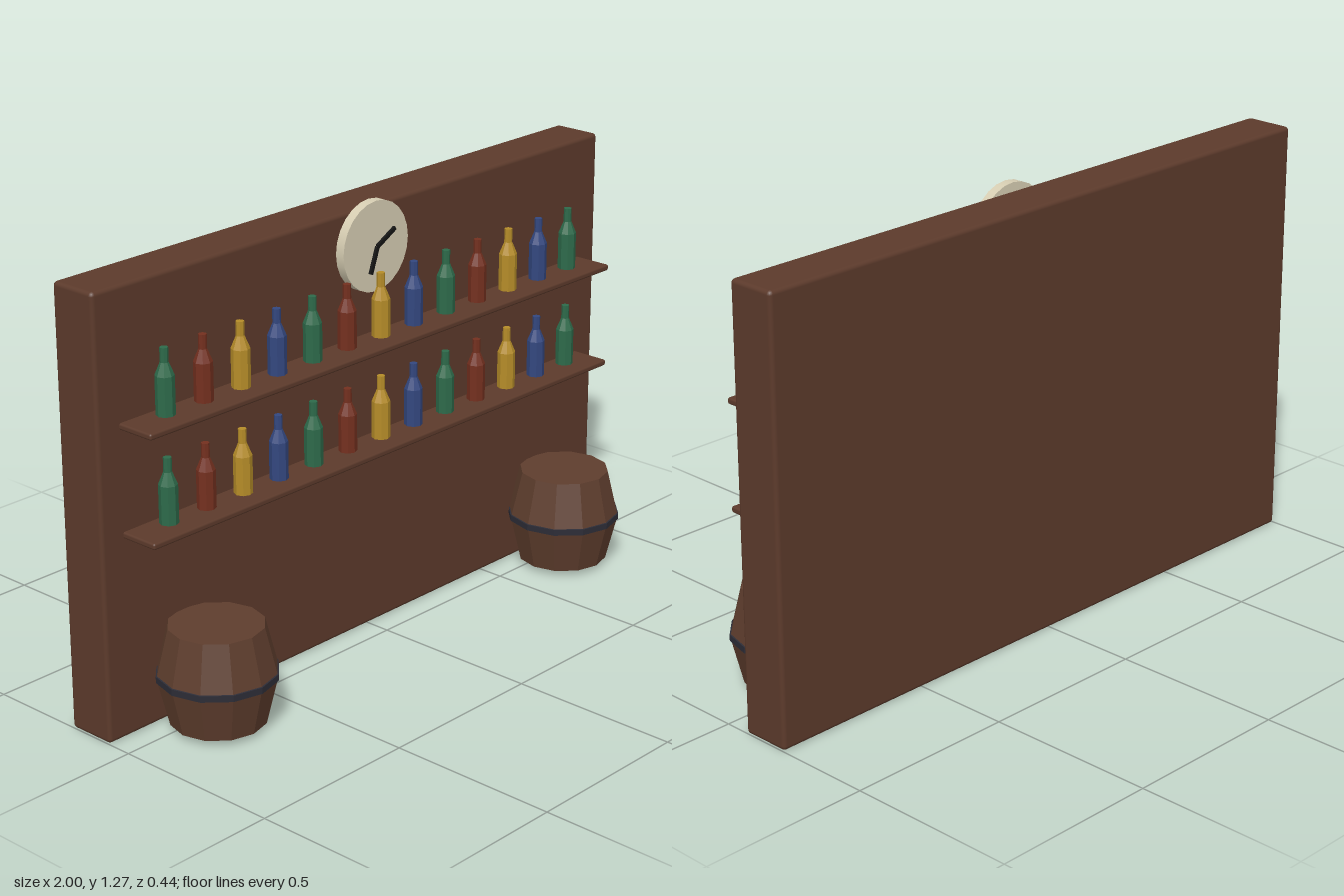
import * as THREE from 'three';
import { RoundedBoxGeometry } from 'three/addons/geometries/RoundedBoxGeometry.js';

function mat(name, color, flat = false) {
  const m = new THREE.MeshStandardMaterial({ color });
  m.name = name;
  m.flatShading = flat;
  return m;
}

export function createModel() {
  const group = new THREE.Group();
  const wood = mat('brown wood', 0x5c3a2b);
  const barrelWood = mat('barrel wood', 0x5e3d2d, true);
  const iron = mat('dark iron', 0x2c2c36, true);
  const ivory = mat('clock ivory', 0xd6cdb2);
  const black = mat('black', 0x141414);
  const glass = [
    mat('green glass', 0x2d6a4a, true),
    mat('red glass', 0x74301f, true),
    mat('amber glass', 0xb58c28, true),
    mat('blue glass', 0x33477f, true),
  ];

  const add = (name, geometry, material, x, y, z, parent = group) => {
    const mesh = new THREE.Mesh(geometry, material);
    mesh.name = name;
    mesh.position.set(x, y, z);
    parent.add(mesh);
    return mesh;
  };
  const lathe = (points, sides) =>
    new THREE.LatheGeometry(points.map(([r, y]) => new THREE.Vector2(r, y)), sides);

  // Back wall
  add('wall', new RoundedBoxGeometry(2, 1.25, 0.147, 2, 0.012), wood, 0, 0.625, -0.1445);

  // Shelves, each with a row of bottles in repeating colours
  const shelfGeometry = new RoundedBoxGeometry(1.85, 0.018, 0.125, 2, 0.006);
  const bottleGeometry = lathe(
    [[0, 0], [0.026, 0], [0.026, 0.108], [0.0115, 0.143], [0.0115, 0.183], [0, 0.183]], 8);
  for (const top of [0.585, 0.885]) {
    add('shelf', shelfGeometry, wood, 0, top - 0.009, -0.0175);
    for (let i = 0; i < 13; i++) {
      add('bottle', bottleGeometry, glass[i % 4], -0.802 + i * 0.135, top, -0.03);
    }
  }

  // Barrels with an iron hoop round the widest part
  const barrelGeometry = lathe(
    [[0, 0], [0.132, 0], [0.166, 0.14], [0.132, 0.28], [0, 0.28]], 12);
  const hoopGeometry = lathe(
    [[0.1635, -0.01], [0.1675, -0.009], [0.1675, 0.009], [0.1635, 0.01]], 12);
  for (const side of [-1, 1]) {
    const barrel = new THREE.Group();
    barrel.name = side > 0 ? 'leftBarrel' : 'rightBarrel';
    barrel.position.set(side * 0.724, 0.017, 0.055);
    add('barrelBody', barrelGeometry, barrelWood, 0, 0, 0, barrel);
    add('barrelHoop', hoopGeometry, iron, 0, 0.139, 0, barrel);
    group.add(barrel);
  }

  // Clock disc
  const clock = new THREE.Group();
  clock.name = 'clock';
  clock.position.set(0, 1.142, 0);
  group.add(clock);
  const disc = new THREE.CylinderGeometry(0.129, 0.129, 0.028, 24).rotateX(Math.PI / 2);
  add('clockFace', disc, ivory, 0, 0, -0.054, clock);

  // Clock hands, running from the centre to each tip
  for (const [name, x, y] of [['hourHand', 0.07, 0.038], ['minuteHand', -0.027, -0.073]]) {
    const hand = add(name, new THREE.BoxGeometry(Math.hypot(x, y), 0.011, 0.008), black,
      x / 2, y / 2, -0.035, clock);
    hand.rotation.z = Math.atan2(y, x);
  }

  return group;
}
